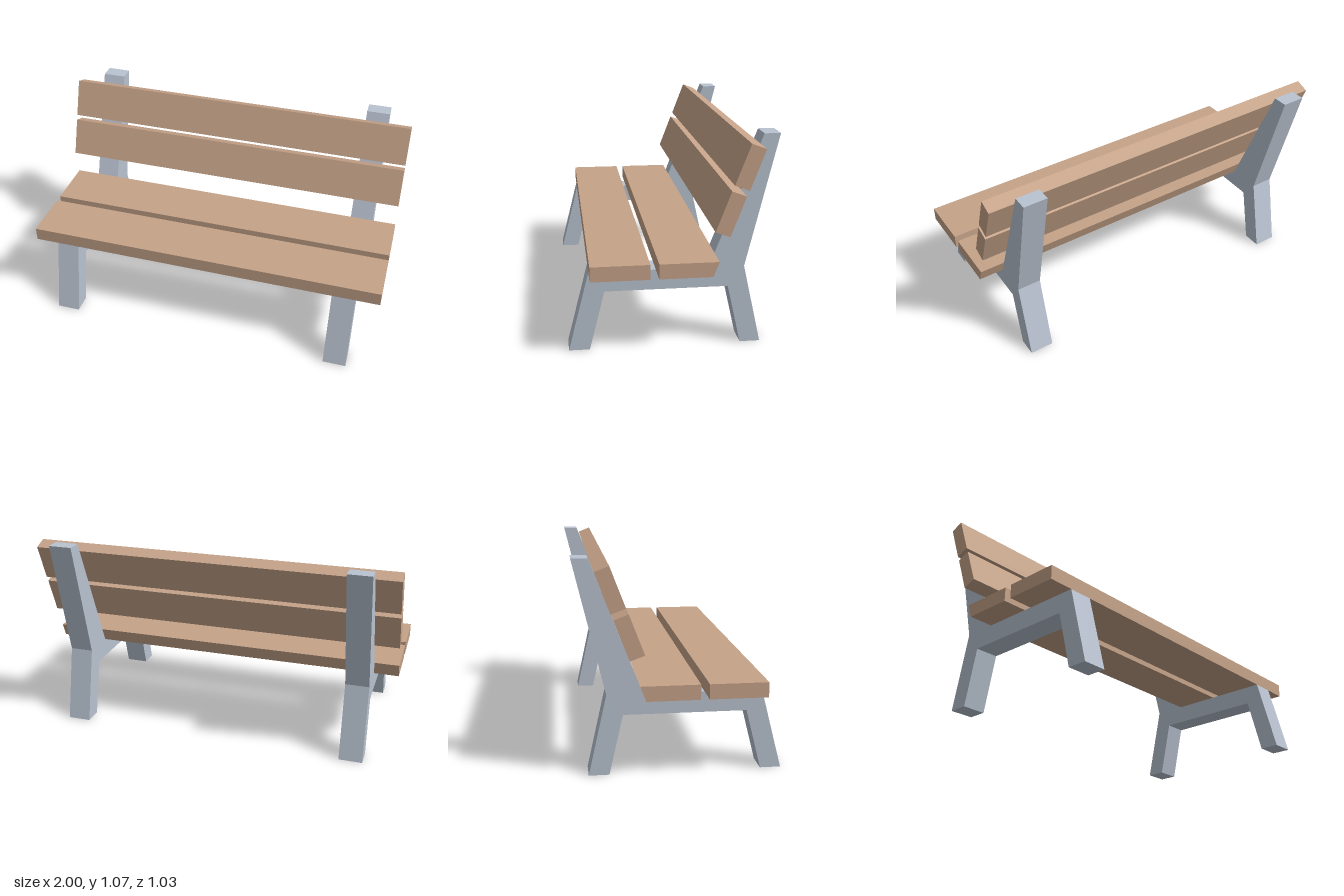
import * as THREE from 'three';

const metal = new THREE.MeshStandardMaterial({ color: 0xb9c3d1, flatShading: true });
const wood = new THREE.MeshStandardMaterial({ color: 0xc6a389, flatShading: true });

// Extrudes a side profile of [z, y] points across x, centred on x
function sidePart(name, points, width, material, x = 0) {
  const shape = new THREE.Shape(points.map(([z, y]) => new THREE.Vector2(z, y)));
  const geometry = new THREE.ExtrudeGeometry(shape, { depth: width, bevelEnabled: false });
  geometry.translate(0, 0, -width / 2);
  geometry.rotateY(-Math.PI / 2);
  const mesh = new THREE.Mesh(geometry, material);
  mesh.name = name;
  mesh.position.x = x;
  return mesh;
}

export function createModel() {
  const bench = new THREE.Group();
  bench.name = 'bench';

  // Side frames: front leg, seat rail, bent rear leg and leaning back post
  const frame = [
    [0.517, 0], [0.413, 0], [0.337, 0.305], [-0.278, 0.305], [-0.347, 0], [-0.449, 0],
    [-0.358, 0.408], [-0.517, 1.073], [-0.437, 1.073], [-0.178, 0.408], [0.413, 0.408],
  ];
  bench.add(sidePart('leftFrame', frame, 0.128, metal, 0.803));
  bench.add(sidePart('rightFrame', frame, 0.128, metal, -0.803));

  // Seat slats; the rear one is cut to the slope of the back posts
  bench.add(sidePart('frontSeatSlat',
    [[0.413, 0.408], [0.413, 0.483], [0.125, 0.483], [0.125, 0.408]], 2, wood));
  bench.add(sidePart('rearSeatSlat',
    [[0.083, 0.408], [0.083, 0.483], [-0.207, 0.483], [-0.178, 0.408]], 2, wood));

  // Back slats lying against the posts
  const lowerBack = [[-0.183, 0.632], [-0.258, 0.829], [-0.329, 0.802], [-0.255, 0.605]];
  bench.add(sidePart('lowerBackSlat', lowerBack, 2, wood));
  bench.add(sidePart('upperBackSlat',
    lowerBack.map(([z, y]) => [z - 0.087, y + 0.224]), 2, wood));

  return bench;
}
